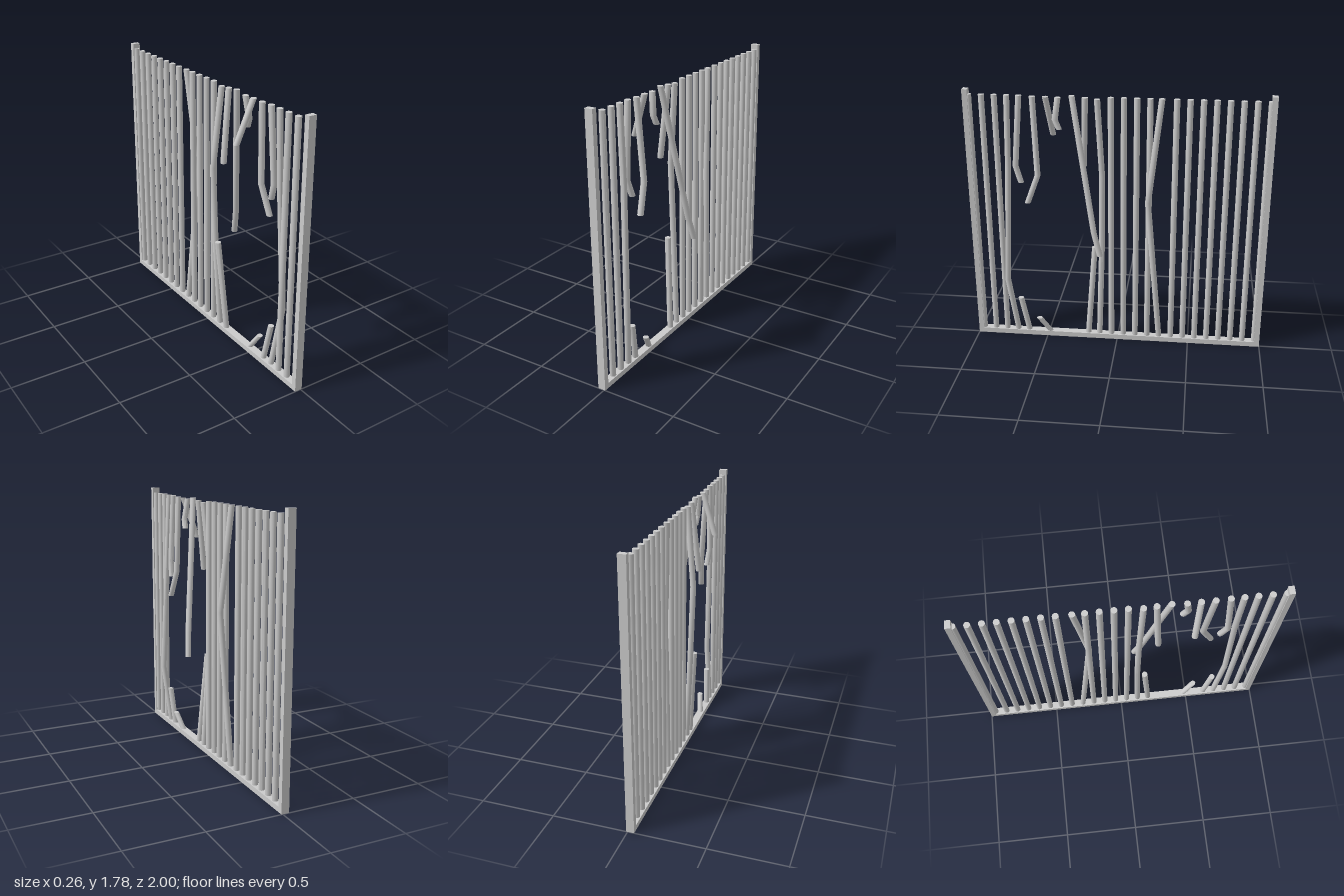
import * as THREE from 'three';
import { toCreasedNormals } from 'three/addons/utils/BufferGeometryUtils.js';

const CX = -0.017, R = 0.02, BASE = 0.02, TOP = 1.75;

export function createModel() {
  const group = new THREE.Group();
  const material = new THREE.MeshStandardMaterial({ color: 0xcccccc });

  function add(name, geometry, x = 0, y = 0, z = 0) {
    const mesh = new THREE.Mesh(geometry, material);
    mesh.name = name;
    mesh.position.set(x, y, z);
    group.add(mesh);
  }

  // Bar sheared along [x, y, z] points listed top to bottom, with level cut ends
  function bar(name, points) {
    const segments = points.length - 1;
    const geometry = new THREE.CylinderGeometry(R, R, segments, 12, segments);
    const pos = geometry.attributes.position;
    for (let i = 0; i < pos.count; i++) {
      const [x, y, z] = points[Math.round(segments / 2 - pos.getY(i))];
      pos.setXYZ(i, pos.getX(i) + x, y, pos.getZ(i) + z);
    }
    add(name, toCreasedNormals(geometry, 0.7));
  }

  // Frame: bottom rail and two end posts
  add('bottomRail', new THREE.BoxGeometry(0.052, 0.035, 2), CX, 0.0175, 0);
  for (const side of [1, -1]) {
    add('endPost', new THREE.BoxGeometry(0.052, 1.785, 0.035), CX, 0.8925, side * 0.9825);
  }

  // Straight bars, skipping the damaged slots
  const damaged = [3, 4, 5, 6, 7, 8, 9, 10, 15];
  for (let i = 0; i < 24; i++) {
    if (damaged.includes(i)) continue;
    const z = 0.964 - i * 0.0838;
    bar('straightBar', [[CX, TOP, z], [CX, BASE, z]]);
  }

  // Bars bent but still whole
  bar('bentBar', [[CX, TOP, 0.715], [0.0, 1.25, 0.725], [0.022, 0.45, 0.763], [CX, BASE, 0.713]]);
  bar('bentBar', [[CX, 1.737, 0.13], [-0.065, 1.2, 0.107], [-0.047, 0.68, 0.11], [CX, BASE, 0.127]]);
  bar('bentBar', [[CX, TOP, -0.283], [0.022, 1.06, -0.206], [CX, BASE, -0.295]]);

  // Broken pieces hanging from the top
  bar('hangingPiece', [[CX, TOP, 0.636], [-0.01, 1.275, 0.676], [0.0, 1.165, 0.642]]);
  bar('hangingPiece', [[CX, 1.745, 0.549], [0.008, 1.22, 0.527], [0.025, 1.03, 0.597]]);
  bar('hangingPiece', [[CX, 1.745, 0.464], [-0.115, 1.465, 0.436]]);
  bar('hangingPiece', [[CX, 1.742, 0.383], [0.0, 1.6, 0.402], [0.006, 1.54, 0.376]]);
  bar('hangingPiece', [[CX, 1.755, 0.293], [0.09, 0.86, 0.147], [0.11, 0.7, 0.105]]);
  bar('hangingPiece', [[CX, 1.745, 0.207], [-0.066, 1.27, 0.228]]);

  // Broken stubs rising from the rail
  bar('brokenStub', [[0.0, 0.295, 0.682], [CX, BASE, 0.633]]);
  bar('brokenStub', [[0.012, 0.145, 0.552], [CX, BASE, 0.473]]);
  bar('brokenStub', [[-0.06, 0.685, 0.16], [CX, BASE, 0.207]]);

  return group;
}
